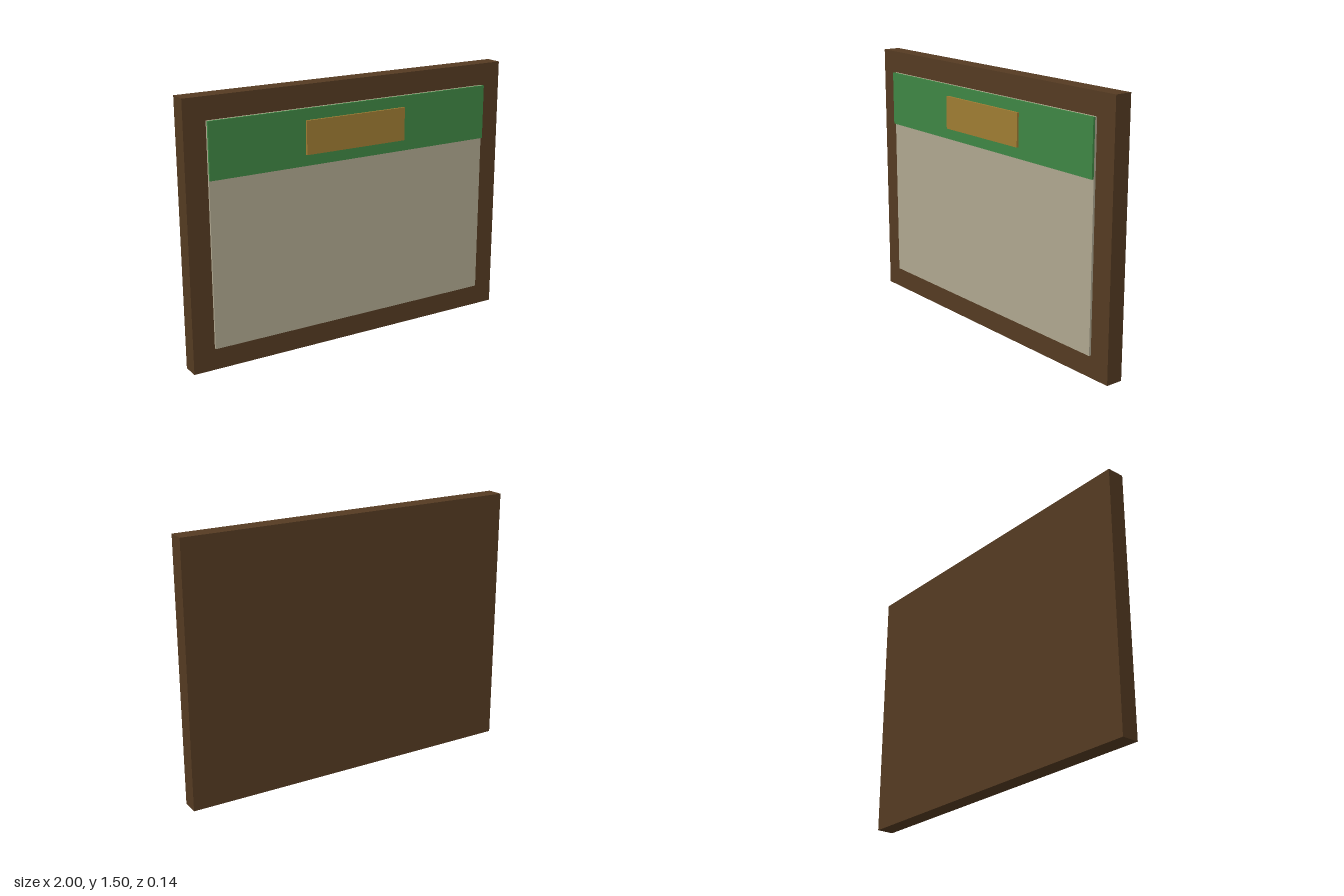
import * as THREE from 'three';

export function createModel() {
  const group = new THREE.Group();

  // Each slab stands on y = bottom and spans z = back to front
  function slab(name, color, width, bottom, top, back, front) {
    const mesh = new THREE.Mesh(
      new THREE.BoxGeometry(width, top - bottom, front - back),
      new THREE.MeshStandardMaterial({ color })
    );
    mesh.name = name;
    mesh.position.set(0, (bottom + top) / 2, (back + front) / 2);
    group.add(mesh);
  }

  // Wooden backing board, its border showing as the frame
  slab('woodenFrame', 0x553b22, 2, 0, 1.5, -0.06875, 0.03125);
  // Pale sheet on the board
  slab('paperSheet', 0xb0a890, 1.75, 0.125, 1.375, 0.03125, 0.04375);
  // Green band across the top of the sheet
  slab('headerBand', 0x3f8744, 1.75, 1.0625, 1.375, 0.04375, 0.05625);
  // Gold plate on the band
  slab('headerPlate', 0xa07d33, 0.625, 1.125, 1.3125, 0.05625, 0.06875);

  return group;
}
